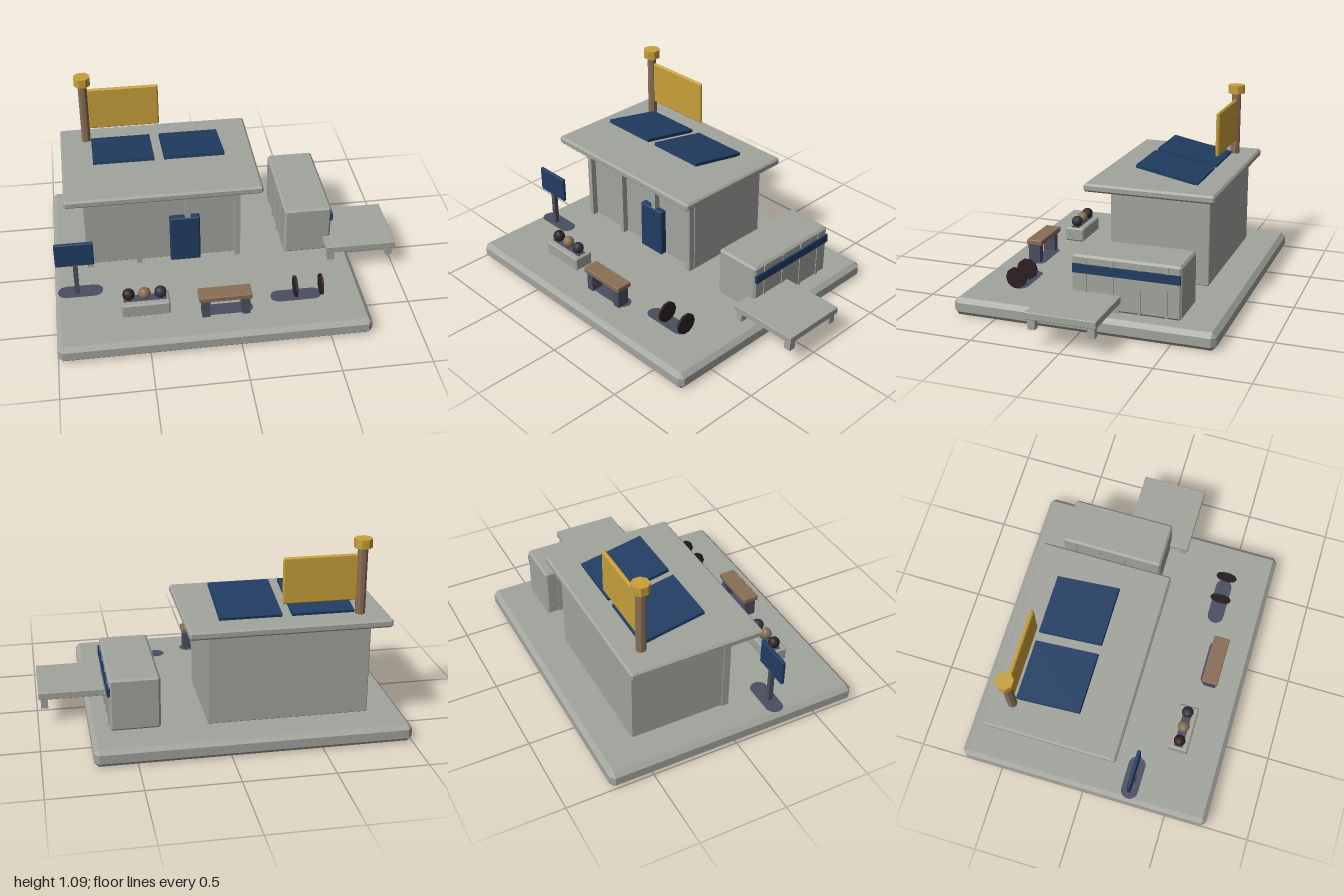
import * as THREE from 'three';
import { ConvexGeometry } from 'three/addons/geometries/ConvexGeometry.js';

const paint = (name, color, extra = {}) => {
  const m = new THREE.MeshStandardMaterial({ color, ...extra });
  m.name = name;
  return m;
};

export function createModel() {
  const group = new THREE.Group();
  const concrete = paint('concrete', 0xa2a49d);
  const navy = paint('navy', 0x213d63);
  const gold = paint('gold', 0xc8a03a);
  const wood = paint('wood', 0x8a6e56);
  const slate = paint('slate', 0x4b4e60);
  const rubber = paint('rubber', 0x2e2122);
  const darkStone = paint('dark stone', 0x2f303c);

  const add = (name, geometry, material, x = 0, y = 0, z = 0) => {
    const mesh = new THREE.Mesh(geometry, material);
    mesh.name = name;
    mesh.position.set(x, y, z);
    group.add(mesh);
    return mesh;
  };

  // Box given by its extents; c chamfers every edge
  const block = (name, material, [x0, x1], [y0, y1], [z0, z1], c = 0) => {
    const w = (x1 - x0) / 2, h = (y1 - y0) / 2, d = (z1 - z0) / 2;
    let geometry = new THREE.BoxGeometry(2 * w, 2 * h, 2 * d);
    if (c) {
      const points = [];
      for (const sx of [-1, 1]) for (const sy of [-1, 1]) for (const sz of [-1, 1]) {
        points.push(
          new THREE.Vector3(sx * w, sy * (h - c), sz * (d - c)),
          new THREE.Vector3(sx * (w - c), sy * h, sz * (d - c)),
          new THREE.Vector3(sx * (w - c), sy * (h - c), sz * d));
      }
      geometry = new ConvexGeometry(points);
    }
    return add(name, geometry, material, (x0 + x1) / 2, (y0 + y1) / 2, (z0 + z1) / 2);
  };

  // Flat patch with rounded ends, lying on the base
  const patch = (name, x0, x1, z, r) => {
    const shape = new THREE.Shape();
    shape.absarc(x1 - r, 0, r, -Math.PI / 2, Math.PI / 2);
    shape.absarc(x0 + r, 0, r, Math.PI / 2, Math.PI * 1.5);
    const geometry = new THREE.ShapeGeometry(shape, 8).rotateX(-Math.PI / 2);
    add(name, geometry, slate, 0, 0.103, z);
  };

  // Ground slab
  block('base', concrete, [-1, 0.73], [0, 0.1], [-0.743, 0.743], 0.025);

  // Main building with front posts, door and roof
  block('buildingWalls', concrete, [-0.8, 0.095], [0.1, 0.6], [-0.53, 0.02], 0.004);
  for (const x of [-0.79, -0.503, -0.215, 0.075])
    block('frontPost', concrete, [x - 0.016, x + 0.016], [0.1, 0.6], [0.015, 0.055]);
  block('door', navy, [-0.32, -0.145], [0.1, 0.4], [0.015, 0.06], 0.006);
  block('roof', concrete, [-0.91, 0.2], [0.613, 0.66], [-0.58, 0.182], 0.011);

  // Tilted roof panels
  for (const x of [-0.557, -0.157]) {
    const panel = add('solarPanel', new THREE.BoxGeometry(0.345, 0.02, 0.372), navy, x, 0.702, -0.253);
    panel.rotation.x = -0.2;
  }

  // Roof mast with cap and banner
  add('mast', new THREE.CylinderGeometry(0.028, 0.028, 0.38, 8).rotateY(Math.PI / 8).toNonIndexed(),
    wood, -0.757, 0.85, -0.45).geometry.computeVertexNormals();
  add('mastCap', new THREE.CylinderGeometry(0.05, 0.05, 0.05, 8).rotateY(Math.PI / 8).toNonIndexed(),
    gold, -0.757, 1.06, -0.45).geometry.computeVertexNormals();
  block('banner', gold, [-0.735, -0.323], [0.74, 1.0], [-0.461, -0.439], 0.007);

  // Small shed with side ribs and a stripe
  block('shed', concrete, [0.35, 0.625], [0.1, 0.4], [-0.53, 0.08], 0.012);
  block('shedStripe', navy, [0.62, 0.636], [0.303, 0.352], [-0.525, 0.073]);
  for (const z of [-0.45, -0.3, -0.15, 0])
    block('shedRib', concrete, [0.345, 0.63], [0.105, 0.385], [z - 0.007, z + 0.007]);

  // Side platform on short legs
  block('platform', concrete, [0.58, 0.992], [0.158, 0.198], [-0.197, 0.193], 0.003);
  for (const x of [0.61, 0.96]) for (const z of [-0.165, 0.162])
    block('platformLeg', concrete, [x - 0.02, x + 0.02], [0.1, 0.16], [z - 0.02, z + 0.02]);

  // Sign on a post
  patch('signPatch', -0.985, -0.73, 0.268, 0.05);
  block('signPost', slate, [-0.888, -0.862], [0.1, 0.31], [0.263, 0.289]);
  block('signBoard', navy, [-0.985, -0.768], [0.3, 0.45], [0.266, 0.287], 0.004);

  // Planter with three round stones
  block('planter', concrete, [-0.64, -0.37], [0.1, 0.185], [0.41, 0.53], 0.008);
  block('planterBed', slate, [-0.625, -0.385], [0.183, 0.188], [0.445, 0.497]);
  [rubber, wood, darkStone].forEach((material, i) =>
    add('planterStone', new THREE.IcosahedronGeometry(0.035, 1), material, -0.595 + i * 0.088, 0.217, 0.47));

  // Bench
  patch('benchPatch', -0.2, 0.09, 0.53, 0.045);
  block('benchSeat', wood, [-0.217, 0.075], [0.21, 0.242], [0.498, 0.594], 0.004);
  for (const x of [-0.178, 0.045])
    block('benchLeg', slate, [x - 0.022, x + 0.022], [0.1, 0.212], [0.513, 0.585]);

  // Pair of upright wheels
  patch('wheelPatch', 0.2, 0.49, 0.468, 0.048);
  for (const x of [0.34, 0.486])
    add('wheel', new THREE.CylinderGeometry(0.062, 0.062, 0.013, 10).rotateZ(Math.PI / 2), rubber, x, 0.165, 0.47);

  return group;
}
